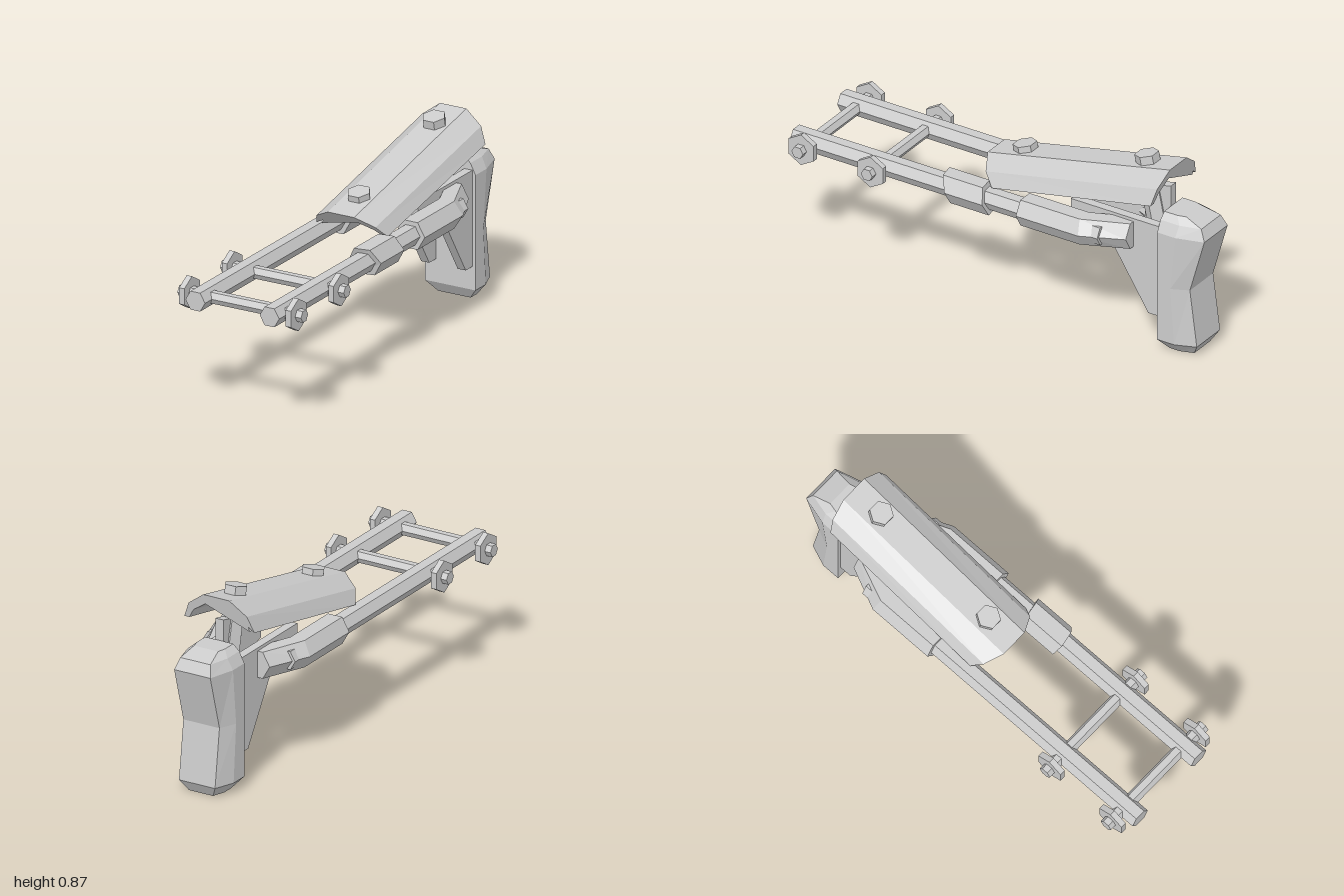
import * as THREE from 'three';

const material = new THREE.MeshStandardMaterial({ color: 0xcccccc, flatShading: true });

export function createModel() {
  const model = new THREE.Group();

  const add = (name, geometry, x = 0, y = 0, z = 0) => {
    const mesh = new THREE.Mesh(geometry, material);
    mesh.name = name;
    mesh.position.set(x, y, z);
    model.add(mesh);
    return mesh;
  };

  // Closed solid through matching rings with an even number of corners
  const loft = (rings) => {
    const n = rings[0].length, last = (rings.length - 1) * n, index = [];
    const quad = (a, b, c, d) => index.push(a, b, c, a, c, d);
    for (let k = 0; k < rings.length - 1; k++)
      for (let i = 0; i < n; i++) {
        const a = k * n + i, b = k * n + (i + 1) % n;
        quad(a, b, b + n, a + n);
      }
    for (let i = 0; i < n / 2 - 1; i++) {
      quad(n - 1 - i, n - 2 - i, i + 1, i);
      quad(last + i, last + i + 1, last + n - 2 - i, last + n - 1 - i);
    }
    const g = new THREE.BufferGeometry();
    g.setAttribute('position', new THREE.Float32BufferAttribute(rings.flat(2), 3));
    g.setIndex(index);
    const flat = g.toNonIndexed();
    flat.computeVertexNormals();
    return flat;
  };

  // Hexagonal ring with corners at its sides; zOf sets the slant
  const hexRing = (cx, r, zOf) => Array.from({ length: 6 }, (_, i) => {
    const x = r * Math.cos(i * Math.PI / 3), y = r * Math.sin(i * Math.PI / 3);
    return [cx + x, 0.52 + y, zOf(x, y)];
  });

  // Plate with a side profile of [z, y] points
  const plate = (points, width) => new THREE.ExtrudeGeometry(
    new THREE.Shape(points.map(([z, y]) => new THREE.Vector2(z, y))),
    { depth: width, bevelEnabled: false },
  ).rotateY(-Math.PI / 2).translate(width / 2, 0, 0);

  const hex = (r, h) => new THREE.CylinderGeometry(r, r, h, 6);

  for (const s of [1, -1]) {
    // Long rails
    add('rail', hex(0.048, 1.55).rotateY(Math.PI / 2).rotateX(Math.PI / 2), s * 0.183, 0.52, 0.225);

    // Rear sockets bending inwards to the grip frame
    add('rearSocket', loft([
      hexRing(s * 0.1, 0.07, () => -0.655),
      hexRing(s * 0.183, 0.071, (x) => -0.44 - Math.abs(x) * 0.4),
      hexRing(s * 0.183, 0.071, () => -0.155),
    ]));

    // Side plates of the grip frame
    add('framePlate', plate([
      [-0.34, 0.595], [-0.785, 0.595], [-0.785, 0.16],
      [-0.73, 0.16], [-0.545, 0.45], [-0.34, 0.49],
    ], 0.04), s * 0.09);
  }

  // Slanted clamp on the left rail
  add('railClamp', loft([
    hexRing(0.183, 0.072, (x, y) => 0.025 + y * 0.25 - x * 0.15),
    hexRing(0.183, 0.072, (x, y) => 0.23 + y * 0.3 - Math.max(x, 0) * 0.35),
  ]));

  // Cross axles with end nuts
  for (const z of [0.565, 0.915]) {
    add('axle', hex(0.029, 0.61).rotateZ(Math.PI / 2), 0, 0.52, z);
    for (const s of [1, -1])
      add('axleNut', hex(0.073, 0.026).rotateY(Math.PI / 2).rotateZ(Math.PI / 2), s * 0.263, 0.52, z);
  }

  // Central web carrying the cover
  add('centreWeb', plate([
    [-0.655, 0.72], [-0.785, 0.75], [-0.785, 0.35], [-0.65, 0.35], [-0.62, 0.385], [-0.655, 0.5],
  ], 0.04));

  // Tilted cover: section of [half width, drop], outer skin then inner skin
  const outer = [[0.175, 0.132], [0.145, 0.06], [0.065, 0]];
  const inner = [[0.15, 0.132], [0.125, 0.09], [0.06, 0.045]];
  const mirror = (p) => [...p].reverse().map(([x, d]) => [-x, d]);
  const section = [...outer, ...mirror(outer), ...mirror([...inner].reverse()).reverse(), ...[...inner].reverse()];
  add('cover', loft([
    section.map(([x, d]) => [x, 0.857 - d, -0.81 + 0.2 * d]),
    section.map(([x, d]) => [x, 0.66 - 0.72 * d, 0.11 - 0.7 * d]),
  ]));

  // Cover bolts, the rear one reaching down into the frame
  for (const [y, z, length] of [[0.72, -0.035, 0.08], [0.862, -0.65, 0.31]]) {
    const bolt = add('coverBolt', hex(0.053, length).rotateY(Math.PI / 2).translate(0, -length / 2, 0), 0, y, z);
    bolt.rotation.x = 0.21;
  }

  // Grip: [height, front z, side crease z, back z, front half width, back half width]
  add('grip', loft([
    [0.003, -0.82, -0.87, -0.93, 0.08, 0.06],
    [0.055, -0.785, -0.87, -0.962, 0.125, 0.09],
    [0.32, -0.785, -0.85, -0.927, 0.125, 0.09],
    [0.575, -0.785, -0.875, -1, 0.125, 0.09],
    [0.625, -0.785, -0.88, -0.975, 0.1, 0.075],
    [0.652, -0.785, -0.85, -0.89, 0.07, 0.06],
  ].map(([y, f, m, b, w, v]) => [
    [w, y, f], [w, y, m], [v, y, b], [-v, y, b], [-w, y, m], [-w, y, f],
  ])));

  return model;
}
